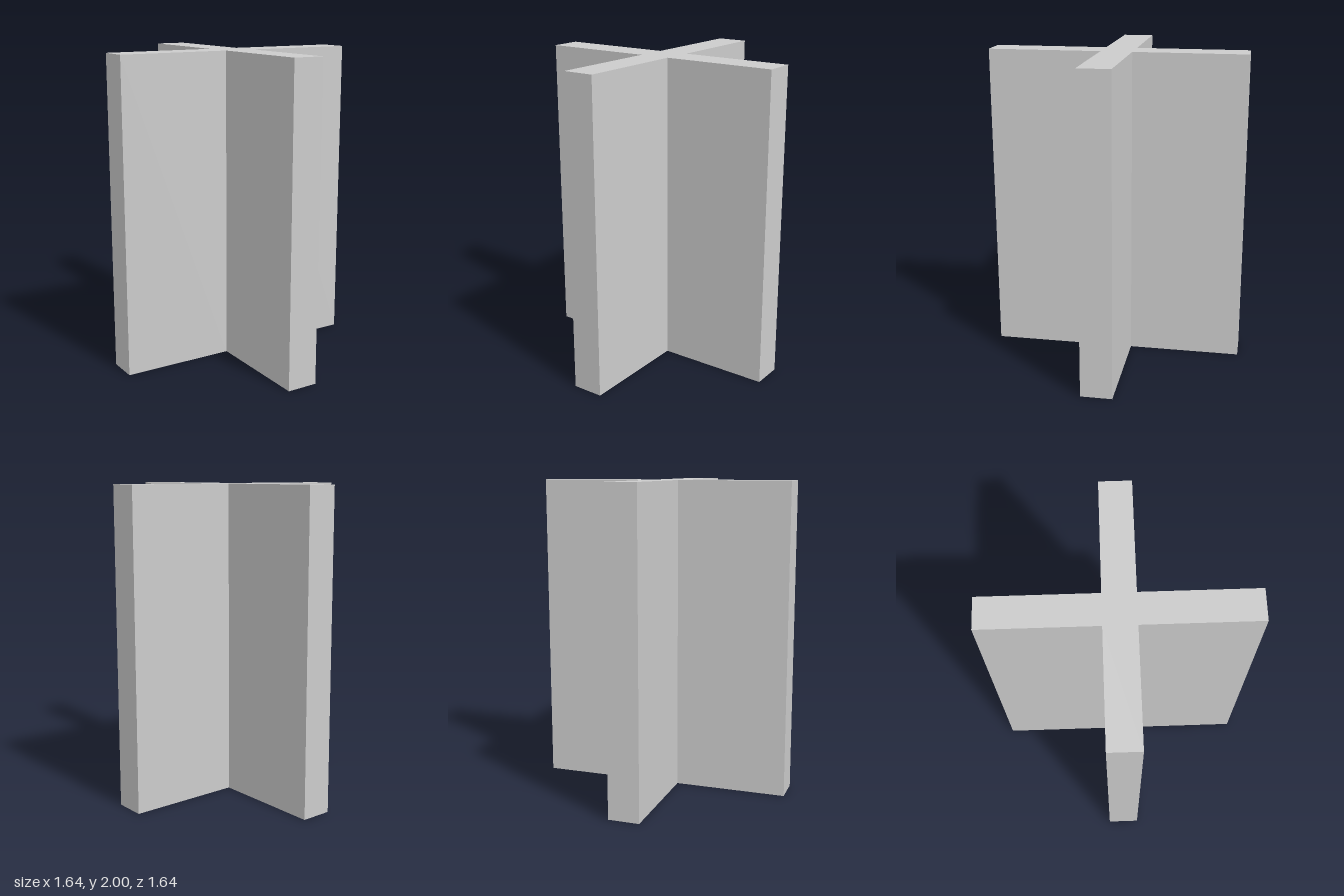
import * as THREE from 'three';

const HEIGHT = 2;
const REACH = 0.82; // centre to arm tip
const HALF = 0.1;   // half the arm thickness

export function createModel() {
  const group = new THREE.Group();
  group.name = 'crossColumn';

  // Plus-shaped outline: three corners per arm, turned a quarter each time
  const points = [];
  for (let i = 0; i < 4; i++) {
    for (const [x, y] of [[REACH, -HALF], [REACH, HALF], [HALF, HALF]]) {
      points.push(new THREE.Vector2(x, y).rotateAround(new THREE.Vector2(), i * Math.PI / 2));
    }
  }

  // Extruded upward into one solid column
  const geometry = new THREE.ExtrudeGeometry(new THREE.Shape(points), {
    depth: HEIGHT,
    bevelEnabled: false,
  });
  geometry.rotateX(-Math.PI / 2);

  const column = new THREE.Mesh(
    geometry,
    new THREE.MeshStandardMaterial({ color: 0xcccccc, flatShading: true }),
  );
  column.name = 'crossBody';
  group.add(column);
  return group;
}
